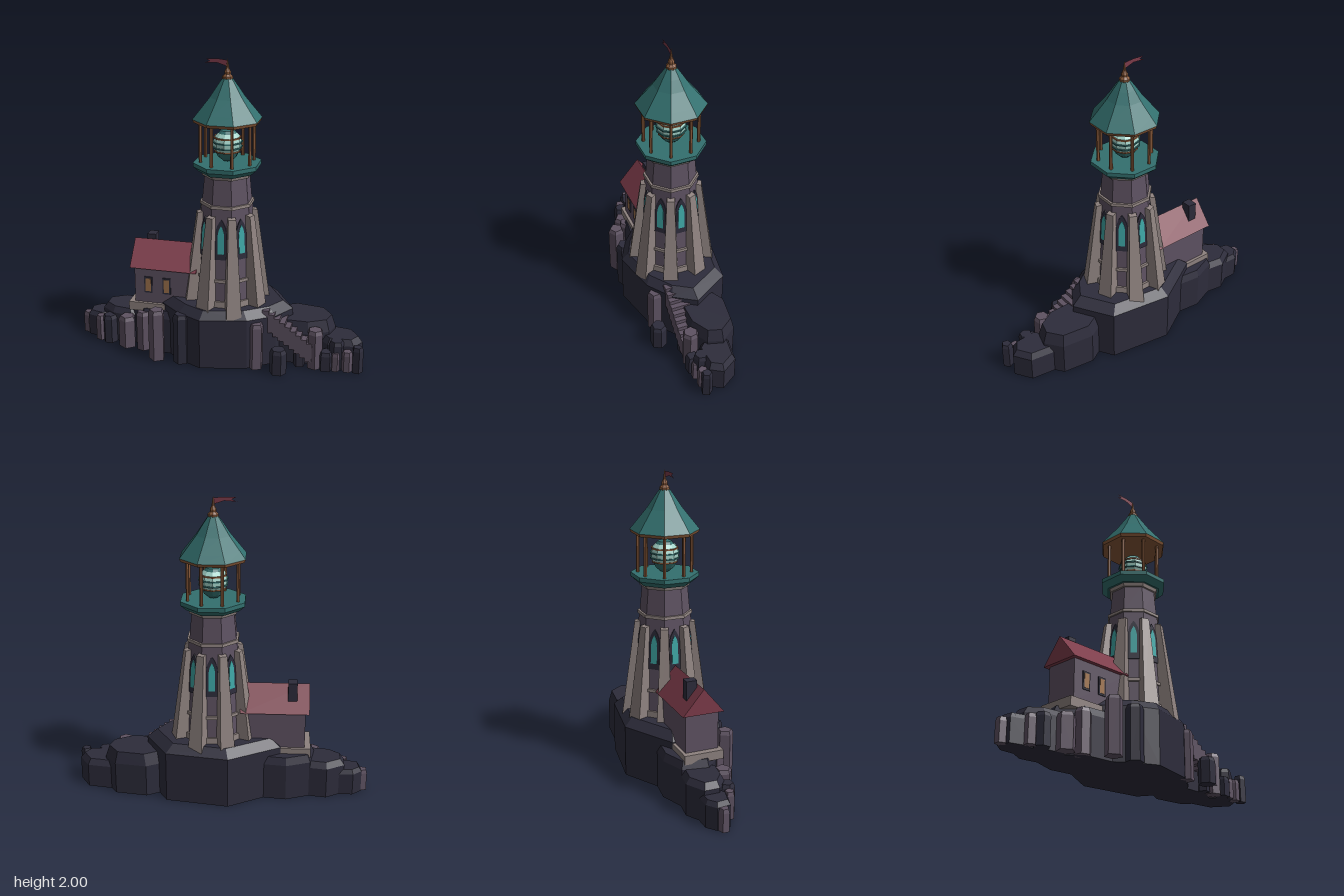
import * as THREE from 'three';
import { ConvexGeometry } from 'three/addons/geometries/ConvexGeometry.js';

const mat = (name, color, side = THREE.FrontSide) =>
  Object.assign(new THREE.MeshStandardMaterial({ color, side, flatShading: true }), { name });

const M = {
  rock: mat('dark rock', 0x2d2c3b),
  stone: mat('purple stone', 0x5e5262),
  trim: mat('pale trim stone', 0x8e827f),
  teal: mat('roof teal', 0x33706f),
  glow: mat('window teal', 0x3fa9a8, THREE.DoubleSide),
  glass: mat('lens glass', 0xa3d3c9),
  copper: mat('copper', 0x8a5a3a),
  amber: mat('amber pane', 0xa0744e),
  red: mat('red tile', 0x7d3b4a, THREE.DoubleSide),
};

const TX = 0.05;                       // tower axis
const K = 1 / Math.cos(Math.PI / 8);   // octagon apothem to corner radius

export function createModel() {
  const model = new THREE.Group();
  model.name = 'lighthouse';

  const add = (name, geo, m, x = 0, y = 0, z = 0, parent = model) => {
    const mesh = new THREE.Mesh(geo, m);
    mesh.name = name;
    mesh.position.set(x, y, z);
    parent.add(mesh);
    return mesh;
  };
  const box = (name, m, w, h, d, x, y, z, parent) =>
    add(name, new THREE.BoxGeometry(w, h, d), m, x, y, z, parent);

  // ---- Rocks: outline extruded upward with a chamfered top ----
  const rock = (name, m, outline, h, bevel, shrink) => {
    const n = outline.length;
    const cx = outline.reduce((s, p) => s + p[0], 0) / n;
    const cz = outline.reduce((s, p) => s + p[1], 0) / n;
    const pts = [];
    for (const [x, z] of outline) {
      pts.push(new THREE.Vector3(x, 0, z), new THREE.Vector3(x, h - bevel, z));
      pts.push(new THREE.Vector3(cx + (x - cx) * shrink, h, cz + (z - cz) * shrink));
    }
    add(name, new ConvexGeometry(pts), m);
  };
  rock('mainRock', M.rock, [[-0.06, -0.325], [0.35, -0.26], [0.5, -0.01], [0.41, 0.13], [0.24, 0.25],
    [-0.06, 0.32], [-0.22, 0.24], [-0.38, 0.1], [-0.4, -0.13]], 0.4, 0.055, 0.85);
  rock('houseRock', M.rock, [[-0.6, -0.15], [-0.44, -0.21], [-0.28, -0.19], [-0.2, 0.05], [-0.3, 0.17],
    [-0.5, 0.15], [-0.63, 0.02]], 0.3, 0.05, 0.9);
  rock('leftRock', M.rock, [[-0.83, -0.1], [-0.71, -0.17], [-0.58, -0.15], [-0.52, 0], [-0.6, 0.09],
    [-0.74, 0.07], [-0.83, 0]], 0.25, 0.04, 0.8);
  rock('leftTipRock', M.rock, [[-0.95, -0.07], [-0.89, -0.12], [-0.77, -0.12], [-0.74, 0], [-0.83, 0.05],
    [-0.94, 0.02]], 0.18, 0.03, 0.8);
  rock('rightRock', M.rock, [[0.36, -0.14], [0.49, -0.21], [0.7, -0.18], [0.78, -0.07], [0.75, 0.03],
    [0.62, 0.1], [0.42, 0.1]], 0.3, 0.08, 0.86);
  rock('rightTipRock', M.rock, [[0.7, -0.13], [0.9, -0.1], [0.97, 0.01], [0.92, 0.09], [0.75, 0.1],
    [0.66, 0]], 0.2, 0.04, 0.8);

  // Shoreline columns: x, z, radius, height, purple?
  [[-0.96, -0.03, 0.035, 0.15, 1], [-0.9, -0.01, 0.038, 0.17, 0], [-0.83, 0.065, 0.037, 0.18, 1],
    [-0.76, 0.08, 0.05, 0.2, 0], [-0.62, 0.12, 0.06, 0.225, 1], [-0.5, 0.13, 0.052, 0.28, 1],
    [-0.37, 0.25, 0.056, 0.36, 1], [-0.2, 0.25, 0.056, 0.35, 0], [0.295, 0.215, 0.05, 0.32, 1],
    [0.45, 0.25, 0.056, 0.17, 0], [0.57, 0.12, 0.04, 0.14, 0], [0.67, 0.115, 0.055, 0.27, 1],
    [0.745, 0.13, 0.05, 0.13, 0], [0.81, 0.1, 0.05, 0.2, 0], [0.81, 0.135, 0.03, 0.13, 1],
    [0.885, 0.12, 0.036, 0.14, 1], [0.95, 0.12, 0.038, 0.18, 0]].forEach(([x, z, r, h, p], i) => {
    const ring = [];
    for (let k = 0; k < 5 + (i % 2); k++) {
      const a = (k / (5 + (i % 2))) * Math.PI * 2 + i * 0.7;
      ring.push([x + r * Math.cos(a), z + r * Math.sin(a)]);
    }
    rock('shoreColumn', p ? M.stone : M.rock, ring, h, 0.025, 0.8);
  });

  // Steps cut down the right-hand slope
  for (let i = 0; i < 9; i++)
    box('step', M.stone, 0.045, 0.13, 0.13, 0.345 + i * 0.036, 0.325 - i * 0.026, 0.1);

  // ---- Tower ----
  const tower = new THREE.Group();
  tower.name = 'tower';
  tower.position.x = TX;
  model.add(tower);
  const oct = (name, m, bottom, top, y0, y1) => {
    const g = new THREE.CylinderGeometry(top * K, bottom * K, y1 - y0, 8);
    g.rotateY(Math.PI / 8);
    return add(name, g, m, 0, (y0 + y1) / 2, 0, tower);
  };
  const apothem = (y) => 0.2 - (y - 0.35) * 0.0625;
  oct('lowerWall', M.stone, apothem(0.35), apothem(1.07), 0.35, 1.07);
  oct('upperWall', M.stone, 0.152, 0.136, 1.07, 1.26);
  oct('footBand', M.trim, 0.212, 0.208, 0.4, 0.44);
  oct('lowerBand', M.trim, 0.2, 0.198, 0.57, 0.59);
  oct('middleBand', M.trim, 0.166, 0.164, 1.062, 1.082);
  oct('upperBand', M.trim, 0.15, 0.155, 1.252, 1.275);
  oct('galleryUnderside', M.teal, 0.168, 0.205, 1.275, 1.31);
  oct('galleryRim', M.teal, 0.205, 0.205, 1.31, 1.337);

  // Pointed lancet plate, bottom edge at y = 0
  const lancet = (w, h, t) => {
    const s = new THREE.Shape();
    s.moveTo(-w, 0);
    s.lineTo(w, 0);
    s.lineTo(w, h * 0.65);
    s.quadraticCurveTo(w * 0.9, h * 0.85, 0, h);
    s.quadraticCurveTo(-w * 0.9, h * 0.85, -w, h * 0.65);
    return new THREE.ExtrudeGeometry(s, { depth: t, bevelEnabled: false, curveSegments: 4 });
  };
  const frameGeo = lancet(0.037, 0.27, 0.008);
  const paneGeo = lancet(0.021, 0.19, 0.004);

  // Buttress: box tapered in depth and width toward the top
  const buttressGeo = new THREE.BoxGeometry(1, 1, 1);
  const p = buttressGeo.attributes.position;
  for (let i = 0; i < p.count; i++) {
    const top = p.getY(i) > 0, outer = p.getZ(i) > 0;
    const hw = top ? 0.025 : 0.05;
    p.setXYZ(i, Math.sign(p.getX(i)) * hw, top ? (outer ? 1.005 : 1.02) : 0.35,
      outer ? (top ? 0.197 : 0.287) : 0.12);
  }
  buttressGeo.computeVertexNormals();

  for (let i = 0; i < 8; i++) {
    const side = new THREE.Group();
    side.name = 'towerSide';
    side.rotation.y = (i * Math.PI) / 4;
    tower.add(side);
    const lean = -Math.atan(0.0625);
    add('windowFrame', frameGeo, M.rock, 0, 0.725, apothem(0.725) - 0.001, side).rotation.x = lean;
    add('windowPane', paneGeo, M.glow, 0, 0.765, apothem(0.765) + 0.006, side).rotation.x = lean;

    const corner = new THREE.Group();
    corner.name = 'towerCorner';
    corner.rotation.y = ((i + 0.5) * Math.PI) / 4;
    tower.add(corner);
    add('buttress', buttressGeo, M.trim, 0, 0, 0, corner);
    add('lanternPost', new THREE.CylinderGeometry(0.011, 0.011, 0.27, 6), M.copper, 0, 1.47, 0.173, corner);
  }

  // ---- Lamp lens ----
  const lathe = (name, m, pts, n) =>
    add(name, new THREE.LatheGeometry(pts.map(([r, y]) => new THREE.Vector2(r, y)), n), m, 0, 0, 0, tower);
  lathe('lampBase', M.teal, [[0, 1.335], [0.03, 1.345], [0.06, 1.37], [0.078, 1.405], [0, 1.405]], 10);
  lathe('lens', M.glass, [[0, 1.4], [0.078, 1.405], [0.09, 1.43], [0.092, 1.47], [0.08, 1.505], [0.06, 1.525], [0, 1.525]], 10);
  lathe('lampCap', M.teal, [[0, 1.515], [0.068, 1.515], [0.045, 1.542], [0, 1.545]], 10);
  for (const [y, r, m] of [[1.41, 0.086, M.copper], [1.435, 0.098, M.teal], [1.468, 0.099, M.teal], [1.497, 0.09, M.copper]])
    add('lensRing', new THREE.CylinderGeometry(r, r, 0.009, 10), m, 0, y, 0, tower);

  // ---- Roof, finial and flag ----
  oct('eavesRim', M.copper, 0.2, 0.207, 1.598, 1.618);
  const roofProfile = [[0.207, 1.618], [0.172, 1.665], [0.105, 1.755], [0.065, 1.82], [0.026, 1.88]];
  for (let i = 0; i < 4; i++) {
    const [a, y0] = roofProfile[i], [b, y1] = roofProfile[i + 1];
    oct('roofTier', M.teal, a, b, y0, y1);
  }
  lathe('finial', M.copper, [[0, 1.865], [0.034, 1.87], [0.034, 1.885], [0.02, 1.9], [0.021, 1.915], [0.011, 1.935], [0, 2]], 8);
  const flag = new THREE.Shape();
  [[0, 1.945], [-0.07, 1.968], [-0.15, 1.962], [-0.115, 1.976], [-0.14, 1.99], [-0.06, 1.992], [0, 1.985]]
    .forEach(([x, y], i) => (i ? flag.lineTo(x, y) : flag.moveTo(x, y)));
  add('flag', new THREE.ShapeGeometry(flag), M.red, 0, 0, 0, tower);

  // ---- Keeper's house ----
  const house = new THREE.Group();
  house.name = 'house';
  model.add(house);
  box('plinth', M.trim, 0.46, 0.06, 0.26, -0.37, 0.308, 0, house);
  box('houseWalls', M.stone, 0.43, 0.28, 0.22, -0.345, 0.46, 0, house);
  const gable = new THREE.Shape();
  gable.moveTo(-0.138, 0.59);
  gable.lineTo(0.138, 0.59);
  gable.lineTo(0, 0.755);
  const roofGeo = new THREE.ExtrudeGeometry(gable, { depth: 0.455, bevelEnabled: false });
  roofGeo.rotateY(Math.PI / 2);
  add('houseRoof', roofGeo, M.red, -0.585, 0, 0, house);
  box('chimney', M.rock, 0.06, 0.16, 0.07, -0.473, 0.705, -0.045, house);
  for (const x of [-0.465, -0.338]) {
    box('houseWindowFrame', M.rock, 0.056, 0.115, 0.009, x, 0.468, 0.112, house);
    box('houseWindowPane', M.amber, 0.037, 0.092, 0.005, x, 0.468, 0.116, house);
  }
  return model;
}
